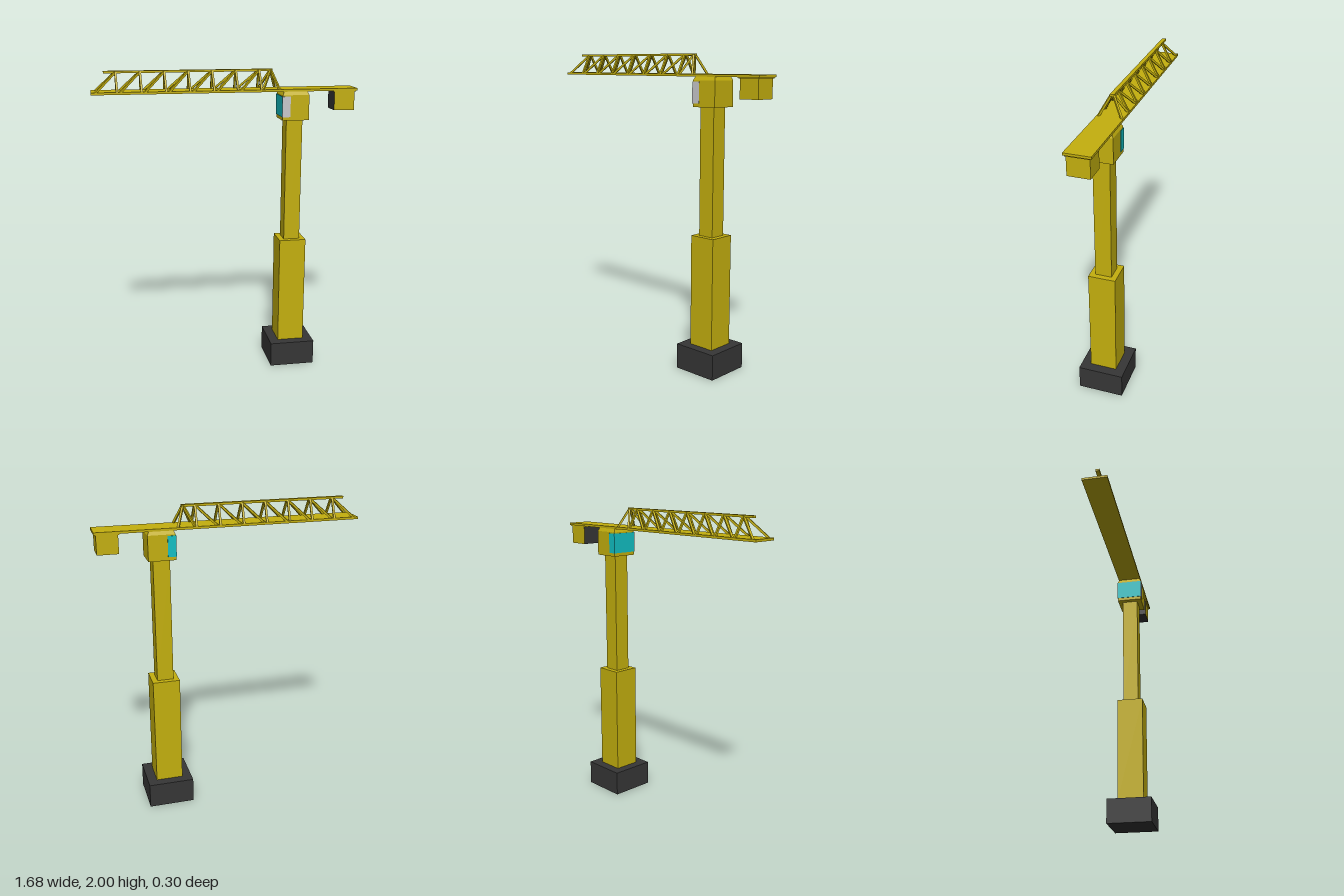
import * as THREE from 'three';

const mat = (name, color) => {
  const m = new THREE.MeshStandardMaterial({ color });
  m.name = name;
  return m;
};

export function createModel() {
  const crane = new THREE.Group();
  crane.name = 'towerCrane';
  const yellow = mat('yellowPaint', 0xc4b00e);
  const dark = mat('darkGrey', 0x363636);
  const teal = mat('tealGlass', 0x12c0c4);
  const silver = mat('silverGlass', 0xc8c8cc);
  const towerX = 0.436;

  // Box given by its limits on each axis
  const box = (name, material, [x0, x1], [y0, y1], [z0, z1], parent = crane) => {
    const mesh = new THREE.Mesh(new THREE.BoxGeometry(x1 - x0, y1 - y0, z1 - z0), material);
    mesh.position.set((x0 + x1) / 2, (y0 + y1) / 2, (z0 + z1) / 2);
    mesh.name = name;
    parent.add(mesh);
    return mesh;
  };
  const around = (c, half) => [c - half, c + half];

  // Square beam between two points
  const beam = (name, a, b, size, parent) => {
    const from = new THREE.Vector3(...a), to = new THREE.Vector3(...b);
    const mesh = new THREE.Mesh(new THREE.BoxGeometry(size, size, from.distanceTo(to)), yellow);
    mesh.position.copy(from).lerp(to, 0.5);
    mesh.lookAt(to);
    mesh.name = name;
    parent.add(mesh);
  };

  // Foundation and telescoping tower
  box('foundation', dark, around(towerX, 0.149), [0, 0.163], around(0, 0.149));
  box('lowerTower', yellow, around(towerX, 0.088), [0.163, 0.88], around(0, 0.088));
  box('upperTower', yellow, around(towerX, 0.053), [0.88, 1.68], around(0, 0.053));

  // Operator cab with a tapered roof
  const cab = new THREE.Group();
  cab.name = 'cab';
  crane.add(cab);
  box('cabBody', yellow, around(towerX, 0.086), [1.68, 1.84], around(0, 0.086), cab);
  const roof = box('cabRoof', yellow, around(towerX, 0.086), [1.84, 1.866], around(0, 0.086), cab);
  const rp = roof.geometry.attributes.position;
  for (let i = 0; i < rp.count; i++) {
    if (rp.getY(i) > 0) rp.setXYZ(i, rp.getX(i) * 0.86, rp.getY(i), rp.getZ(i) * 0.86);
  }
  roof.geometry.computeVertexNormals();

  // Wraparound cab windows
  const glassY = [1.702, 1.832];
  box('cabFrontWindow', teal, [0.347, 0.351], glassY, around(0, 0.085), cab);
  box('cabBackWindow', teal, [0.347, 0.4], glassY, [-0.089, -0.085], cab);
  box('cabSideWindow', silver, [0.347, 0.4], glassY, [0.085, 0.089], cab);

  // Jib deck running through to the counterweight
  box('jibDeck', yellow, [-0.845, 0.84], [1.862, 1.877], around(0, 0.081));

  // Counterweight: dark on its inner side and underside
  box('counterweightFlange', yellow, [0.686, 0.833], [1.855, 1.863], around(0, 0.074));
  box('counterweight', [yellow, dark, yellow, dark, yellow, yellow],
    [0.693, 0.826], [1.737, 1.857], around(0, 0.068));

  // Lattice truss above the jib
  const truss = new THREE.Group();
  truss.name = 'truss';
  crane.add(truss);
  box('topRail', yellow, [-0.765, 0.295], [1.986, 2], around(0, 0.013), truss);
  const low = 1.87, high = 1.991, step = 0.15, first = -0.685;
  for (const side of [-1, 1]) {
    const zLow = side * 0.073, zHigh = side * 0.008;
    for (let i = 0; i < 7; i++) {
      const x = first + i * step;
      beam('upright', [x, low, zLow], [x - 0.005, high, zHigh], 0.013, truss);
      beam('diagonal', [x - step + 0.015, low, zLow], [x - 0.008, high, zHigh], 0.013, truss);
    }
    beam('endDiagonal', [0.222, low, zLow], [0.283, high, zHigh], 0.013, truss);
    beam('rearBrace', [0.332, low, zLow], [0.286, high, zHigh], 0.013, truss);
  }
  return crane;
}
